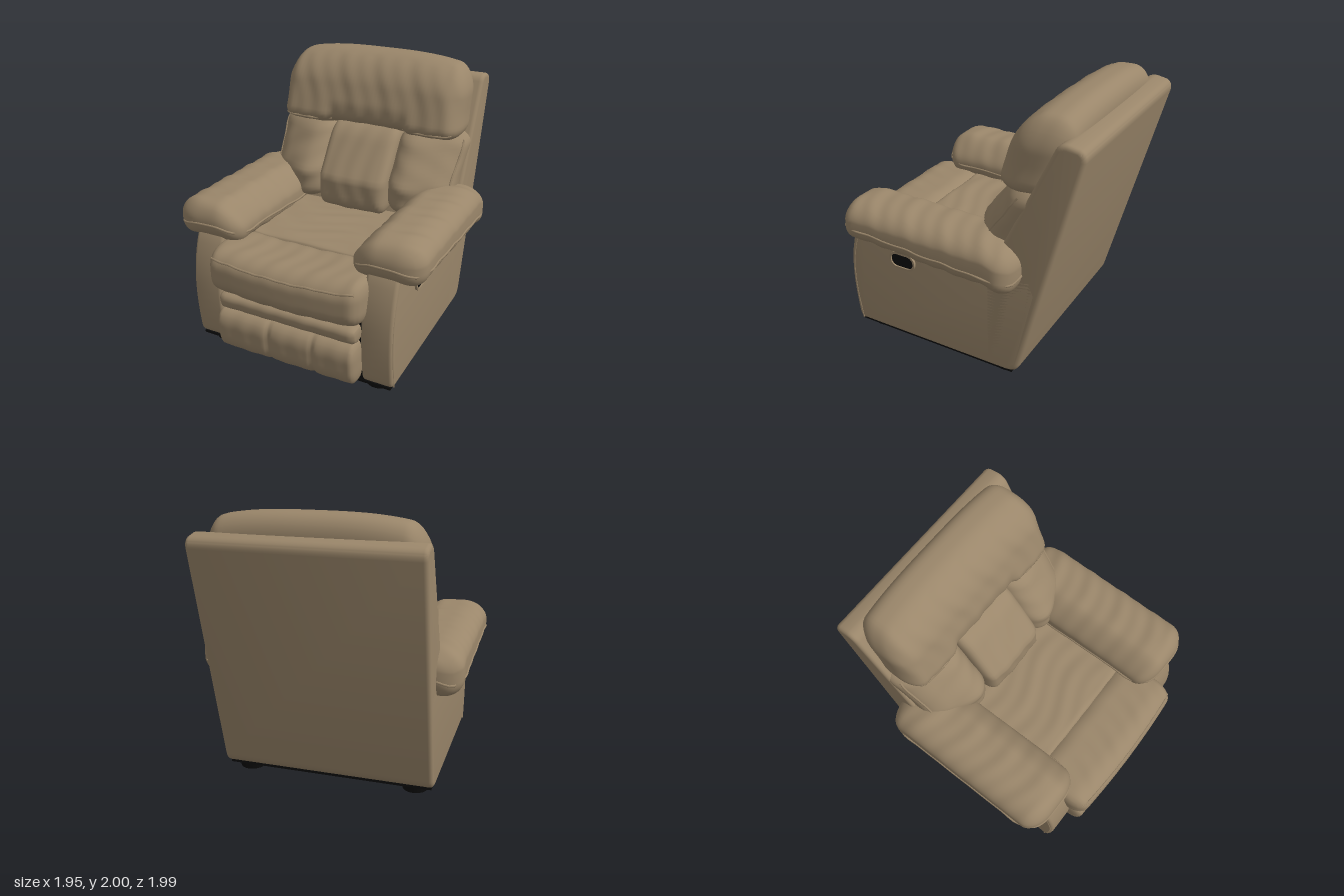
import * as THREE from 'three';
import { mergeVertices, toCreasedNormals } from 'three/addons/utils/BufferGeometryUtils.js';

const leather = new THREE.MeshStandardMaterial({ color: 0x9a866a });
leather.name = 'tan leather';
const black = new THREE.MeshStandardMaterial({ color: 0x0b0b0b });
black.name = 'black';

const { clamp, smoothstep } = THREE.MathUtils;
const dent = (x, at, width) => Math.exp(-(((x - at) / width) ** 2));
// soft, irregular leather folds
const fold = (a, b) => Math.sin(a * 31 + 2.2 * Math.sin(b * 7)) * Math.sin(a * 11 + b * 5 + 1);

export function createModel() {
  const model = new THREE.Group();

  function add(name, geometry, material = leather) {
    const mesh = new THREE.Mesh(geometry, material);
    mesh.name = name;
    model.add(mesh);
    return mesh;
  }

  // Upholstered block: a box with elliptic rounded edges, then bent by shape(p).
  // c centre, h half sizes, r edge radii, rb radius of the lower edges.
  function cushion(name, { c, h, r, rb = r[1], seg, shape }) {
    const centre = new THREE.Vector3(...c);
    const map = (x, y, z) => {
      const v = [x, y, z];
      const rad = [r[0], y < 0 ? rb : r[1], r[2]];
      const q = v.map((t, i) => clamp(t, rad[i] - h[i], h[i] - rad[i]));
      const d = v.map((t, i) => (t - q[i]) / rad[i]);
      const len = Math.hypot(...d) || 1;
      const p = new THREE.Vector3(...q.map((t, i) => t + (d[i] / len) * rad[i])).add(centre);
      shape(p);
      return p;
    };
    const geo = new THREE.BoxGeometry(h[0] * 2, h[1] * 2, h[2] * 2, ...seg);
    geo.deleteAttribute('normal');
    geo.deleteAttribute('uv');
    const pos = geo.attributes.position;
    for (let i = 0; i < pos.count; i++) {
      const p = map(pos.getX(i), pos.getY(i), pos.getZ(i));
      pos.setXYZ(i, p.x, p.y, p.z);
    }
    const merged = mergeVertices(geo, 1e-5);
    merged.computeVertexNormals();
    add(name, merged);
    return map;
  }

  function piping(name, points, closed = false, radius = 0.009) {
    const path = new THREE.CatmullRomCurve3(points, closed);
    add(name, new THREE.TubeGeometry(path, points.length * 2, radius, 6, closed));
  }

  // Extrude a (z, y) outline sideways from x0 to x1.
  function slab(name, shape, x0, x1, bevel, material) {
    const geo = new THREE.ExtrudeGeometry(shape, {
      depth: x1 - x0 - 2 * bevel, bevelEnabled: bevel > 0, bevelSize: bevel,
      bevelThickness: bevel, bevelOffset: -bevel, bevelSegments: 4, curveSegments: 10,
    });
    geo.rotateY(-Math.PI / 2).translate(x1 - bevel, 0, 0);
    add(name, toCreasedNormals(geo, 0.6), material);
  }

  // Reclined back shell
  const shell = new THREE.Shape();
  shell.moveTo(-0.3, 0.065);
  shell.lineTo(-0.3, 0.8);
  shell.lineTo(-0.46, 1.12);
  shell.lineTo(-0.79, 1.81);
  shell.quadraticCurveTo(-0.82, 1.86, -0.88, 1.855);
  shell.lineTo(-0.95, 1.84);
  shell.quadraticCurveTo(-1.0, 1.82, -0.99, 1.76);
  shell.lineTo(-0.575, 0.14);
  shell.quadraticCurveTo(-0.555, 0.065, -0.48, 0.065);
  slab('backShell', shell, -0.79, 0.79, 0.03);

  // Inner frame and underside
  const frame = add('innerFrame', new THREE.BoxGeometry(1.16, 0.5, 1.25), black);
  frame.position.set(0, 0.31, 0.18);
  const base = add('underside', new THREE.BoxGeometry(1.54, 0.02, 1.32), black);
  base.position.set(0, 0.056, 0.15);

  for (const s of [-1, 1]) {
    const side = s > 0 ? 'left' : 'right';
    const span = (a, b) => (s > 0 ? [a, b] : [-b, -a]);

    // Side panel with a curved front edge
    const panel = new THREE.Shape();
    panel.moveTo(-0.48, 0.065);
    panel.lineTo(0.78, 0.065);
    panel.quadraticCurveTo(0.82, 0.065, 0.83, 0.12);
    panel.bezierCurveTo(0.87, 0.4, 0.88, 0.66, 0.77, 0.9);
    panel.lineTo(0.72, 0.96);
    panel.lineTo(-0.62, 0.96);
    panel.lineTo(-0.7, 0.75);
    panel.lineTo(-0.56, 0.12);
    slab(side + 'SidePanel', panel, ...span(0.56, 0.79), 0.025);
    piping(side + 'PanelSeam', [[0.07, 0.79], [0.3, 0.825], [0.55, 0.83], [0.75, 0.79], [0.9, 0.73]]
      .map(([y, z]) => new THREE.Vector3(s * 0.787, y, z)), false, 0.007);

    // Padded armrest, thinner and drooping to the rear
    const arm = cushion(side + 'Armrest', {
      c: [s * 0.695, 0.995, 0.11], h: [0.265, 0.145, 0.7], r: [0.2, 0.14, 0.13], seg: [18, 14, 56],
      shape: (p) => {
        const x = Math.abs(p.x), rear = smoothstep(-p.z, -0.65, 0.3), up = p.y > 0.995;
        p.y -= (up ? 0.02 : 0.05) * rear;
        p.y -= 0.05 * smoothstep(-p.z, 0.3, 0.6);
        p.y -= 0.06 * smoothstep(-x, -0.62, -0.43);
        if (!up) p.y -= 0.03 * smoothstep(x, 0.75, 0.92);
        p.y += 0.007 * fold(p.z, x);
      },
    });
    const ring = [];
    for (let i = 0; i < 48; i++) {
      const a = (i / 48) * Math.PI * 2, cx = Math.cos(a), cz = Math.sin(a);
      const k = 1 / Math.max(Math.abs(cx), Math.abs(cz));
      ring.push(arm(cx * k * 0.265, -0.01, cz * k * 0.7));
    }
    piping(side + 'ArmrestPiping', ring, true);

    // Recessed control: oval rim and dark plate
    const oval = (shape, w, r) => {
      shape.absarc(0.37 + w, 0.71, r, -Math.PI / 2, Math.PI / 2);
      shape.absarc(0.37 - w, 0.71, r, Math.PI / 2, Math.PI * 1.5);
      return shape;
    };
    const rim = oval(new THREE.Shape(), 0.045, 0.066);
    rim.holes.push(oval(new THREE.Path(), 0.045, 0.05));
    slab(side + 'ControlRim', rim, ...span(0.785, 0.808), 0);
    slab(side + 'ControlPlate', oval(new THREE.Shape(), 0.045, 0.052), ...span(0.788, 0.797), 0, black);

    // Feet
    for (const [end, z] of [['Front', 0.685], ['Rear', -0.41]]) {
      const foot = add(side + end + 'Foot', new THREE.CylinderGeometry(0.1, 0.092, 0.07, 24), black);
      foot.position.set(s * 0.635, 0.035, z);
    }

    // Outer lumbar cushion
    const wing = cushion(side + 'BackWing', {
      c: [s * 0.515, 1.17, -0.335], h: [0.245, 0.31, 0.215], r: [0.15, 0.1, 0.15], seg: [18, 22, 14],
      shape: (p) => {
        const x = Math.abs(p.x);
        p.z -= 0.72 * Math.max(0, p.y - 1.1) + 0.12 * smoothstep(x, 0.4, 0.76);
        p.x += s * 0.03 * smoothstep(p.y, 1.1, 1.45) * smoothstep(x, 0.3, 0.7);
        p.z += 0.007 * fold(p.y + 0.6 * x, x);
      },
    });
    piping(side + 'WingPiping', [-0.22, -0.1, 0, 0.1, 0.2, 0.26].map((y) => wing(s * 0.245, y, 0.17)));
  }

  // Centre lumbar cushion
  cushion('backCentre', {
    c: [0, 1.16, -0.32], h: [0.285, 0.32, 0.21], r: [0.06, 0.1, 0.1], seg: [24, 20, 12],
    shape: (p) => {
      p.z -= 0.72 * Math.max(0, p.y - 1.1);
      p.z += 0.015 * (1 - (p.x / 0.285) ** 2) + 0.006 * fold(p.x, p.y);
    },
  });

  // Headrest, bulging over the lumbar cushions with a shallow hollow in the middle
  const head = cushion('headrest', {
    c: [0, 1.71, -0.63], h: [0.745, 0.29, 0.22], r: [0.13, 0.24, 0.19], rb: 0.11, seg: [54, 24, 16],
    shape: (p) => {
      const x = Math.abs(p.x), low = smoothstep(-p.y, -1.64, -1.42);
      p.y -= 0.07 * (x / 0.745) ** 3 * smoothstep(p.y, 1.6, 1.98);
      p.z -= 0.3 * (p.y - 1.71);
      if (p.z > -0.6) {
        p.z -= low * (0.05 * smoothstep(-x, -0.34, -0.24) + 0.025 * dent(x, 0.3, 0.03));
        p.z += 0.007 * fold(p.x, p.y);
      }
      p.x *= 1 + 0.015 * low;
    },
  });
  for (const s of [-1, 1]) {
    piping('headrestPiping', [0.3, 0.42, 0.55, 0.66, 0.72].map((x) => head(s * x, -0.25, 0.22)));
  }

  // Seat pad with crosswise folds
  cushion('seatPad', {
    c: [0, 0.71, 0.14], h: [0.56, 0.15, 0.4], r: [0.06, 0.05, 0.05], seg: [20, 6, 40],
    shape: (p) => { p.y += p.y > 0.75 ? 0.006 * fold(p.z, p.x) : 0; },
  });

  // Rolled seat front
  const roll = cushion('seatFront', {
    c: [0, 0.7, 0.72], h: [0.6, 0.175, 0.25], r: [0.08, 0.13, 0.16], seg: [44, 18, 22],
    shape: (p) => {
      const e = (p.x / 0.6) ** 2;
      p.z += 0.025 * (1 - e) * smoothstep(p.z, 0.6, 0.9);
      p.y += 0.02 * e - 0.01;
      p.y += 0.005 * fold(p.x, p.z);
    },
  });
  const seam = [];
  for (let i = -10; i <= 10; i++) seam.push(roll(i * 0.056, 0.11 + 0.01 * (i / 10) ** 2, 0.25));
  piping('seatFrontPiping', seam);

  // Folded footrest: narrow strip and main pad with stitched seams
  cushion('footrestStrip', {
    c: [0, 0.45, 0.82], h: [0.545, 0.07, 0.1], r: [0.03, 0.06, 0.07], seg: [36, 10, 10],
    shape: (p) => { p.z += 0.15 * (p.y - 0.45) + 0.003 * fold(p.x, p.y); },
  });
  cushion('footrestPad', {
    c: [0, 0.225, 0.83], h: [0.555, 0.17, 0.125], r: [0.04, 0.13, 0.1], seg: [70, 16, 10],
    shape: (p) => {
      if (p.z > 0.83) p.z -= 0.014 * (dent(p.x, -0.12, 0.018) + dent(p.x, 0.23, 0.018));
      p.z += 0.08 * (p.y - 0.225) + 0.004 * fold(p.x, p.y);
    },
  });

  return model;
}
